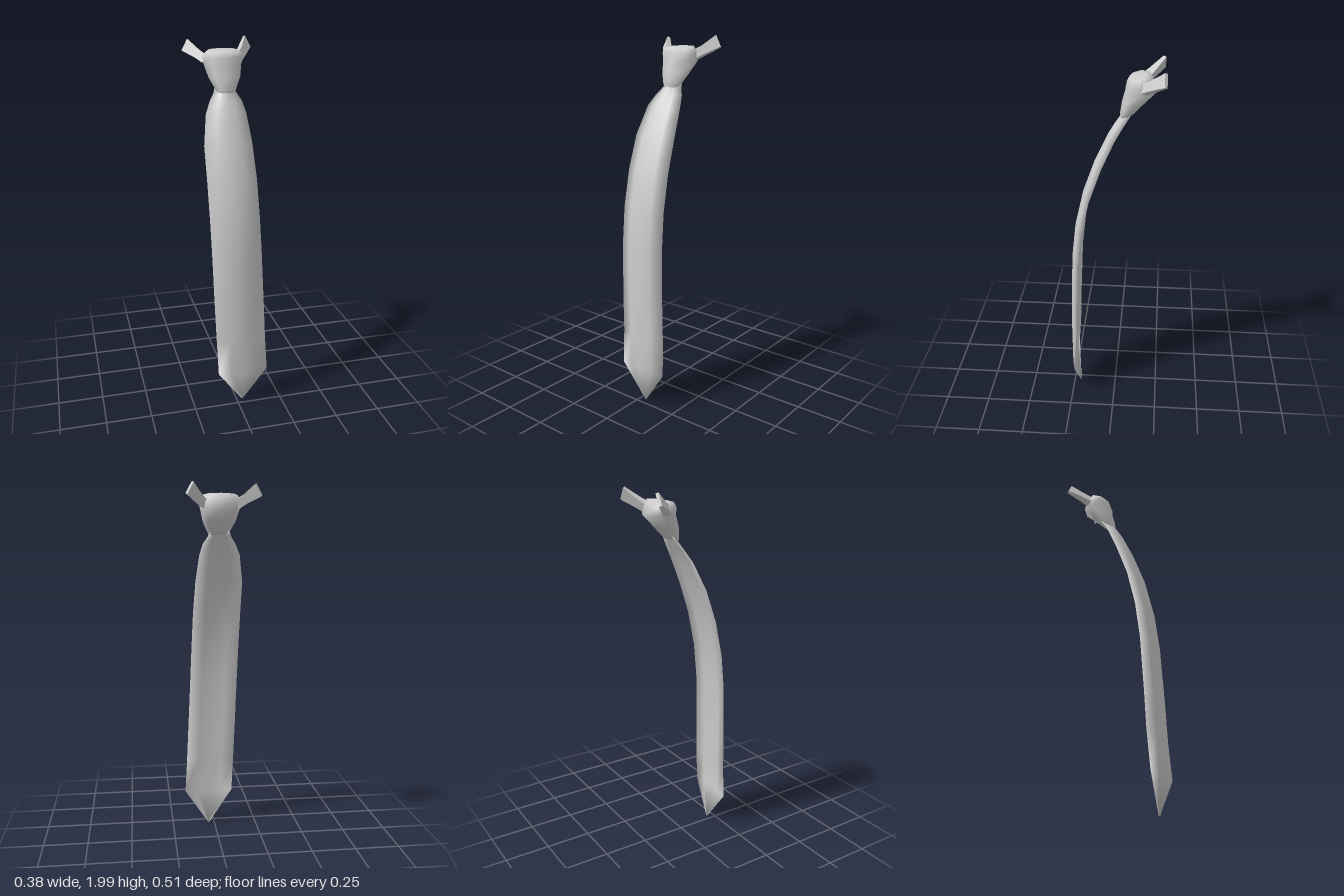
import * as THREE from 'three';
import { toCreasedNormals } from 'three/addons/utils/BufferGeometryUtils.js';

// Skins a stack of closed rings (front left to right, then back) and caps both ends
function loft(name, rings, crease) {
  const n = rings[0].length, index = [];
  for (let i = 0; i < rings.length - 1; i++) {
    for (let j = 0; j < n; j++) {
      const a = i * n + j, b = i * n + (j + 1) % n;
      index.push(a, b, b + n, a, b + n, a + n);
    }
  }
  const top = (rings.length - 1) * n;
  for (let j = 1; j < n - 1; j++) {
    index.push(0, j + 1, j);
    index.push(top, top + j, top + j + 1);
  }
  let geometry = new THREE.BufferGeometry();
  geometry.setAttribute('position', new THREE.Float32BufferAttribute(rings.flat(2), 3));
  geometry.setIndex(index);
  geometry = toCreasedNormals(geometry, crease);
  const mesh = new THREE.Mesh(geometry, new THREE.MeshStandardMaterial({ color: 0xcccccc, side: THREE.DoubleSide }));
  mesh.name = name;
  return mesh;
}

// Shallow section: ridged front, hollow back
function bladeRing([y, left, right, front, edge]) {
  const mid = (left + right) / 2, half = (right - left) / 2, depth = front - edge;
  const section = [[-1, 0], [-0.5, 0.58], [0, 1], [0.5, 0.58], [1, 0], [0.5, 0.15], [0, 0.35], [-0.5, 0.15]];
  return section.map(([u, v]) => [mid + u * half, y, edge + v * depth]);
}

// Eight-sided oval, raised at the back by the tilt
function ovalRing([y, z, rx, rz, tilt]) {
  const ring = [];
  for (let k = 0; k < 8; k++) {
    const a = Math.PI + (k / 8) * Math.PI * 2;
    const s = Math.sin(a);
    ring.push([0.006 + Math.cos(a) * rx, y + s * tilt, z - s * rz]);
  }
  return ring;
}

// Flat neckband stub flaring out from the knot; its outer edge hangs lower
function bandStub(name, side, tipX, tipY, tipZ) {
  const section = (x, y, z, w, h, t) => [
    [-1, -1], [1, -1], [1, 1], [-1, 1],
  ].map(([u, v]) => [
    side * (x + u * w - v * t * 0.5),
    y - u * h - v * t * 0.35,
    z - v * t * 0.8,
  ]);
  const rings = [
    section(0.085, 1.892, -0.14, 0.012, 0.02, 0.022),
    section(0.12, 1.918, -0.178, 0.012, 0.02, 0.017),
    section(tipX, tipY, tipZ, 0.016, 0.03, 0.008),
  ];
  return loft(name, side > 0 ? rings : rings.map((r) => r.slice().reverse()), 0.8);
}

export function createModel() {
  const group = new THREE.Group();
  group.name = 'necktie';

  // Blade: y, left edge, right edge, front ridge z, edge z
  const blade = [
    [0.005, 0.029, 0.037, 0.218, 0.21],
    [0.2, -0.11, 0.172, 0.258, 0.232],
    [0.4, -0.117, 0.162, 0.258, 0.218],
    [0.6, -0.125, 0.153, 0.255, 0.212],
    [0.9, -0.134, 0.14, 0.243, 0.198],
    [1.1, -0.139, 0.133, 0.22, 0.175],
    [1.3, -0.142, 0.127, 0.174, 0.13],
    [1.48, -0.142, 0.118, 0.109, 0.066],
    [1.63, -0.117, 0.102, 0.039, -0.002],
    [1.69, -0.088, 0.086, 0.004, -0.038],
    [1.73, -0.06, 0.062, -0.022, -0.066],
    [1.77, -0.045, 0.05, -0.042, -0.09],
  ];
  group.add(loft('blade', blade.map(bladeRing), Math.PI));

  // Knot: y, centre z, half width, half depth, tilt
  const knot = [
    [1.735, -0.052, 0.05, 0.026, 0.005],
    [1.752, -0.064, 0.059, 0.041, 0.008],
    [1.805, -0.09, 0.086, 0.058, 0],
    [1.866, -0.13, 0.102, 0.082, 0],
    [1.912, -0.122, 0.112, 0.067, 0.005],
    [1.938, -0.12, 0.092, 0.056, 0.008],
    [1.942, -0.122, 0.045, 0.028, 0.004],
  ];
  group.add(loft('knot', knot.map(ovalRing), 1.4));

  // Neckband ends
  group.add(bandStub('rightNeckband', -1, 0.175, 1.959, -0.238));
  group.add(bandStub('leftNeckband', 1, 0.17, 1.967, -0.247));
  return group;
}
